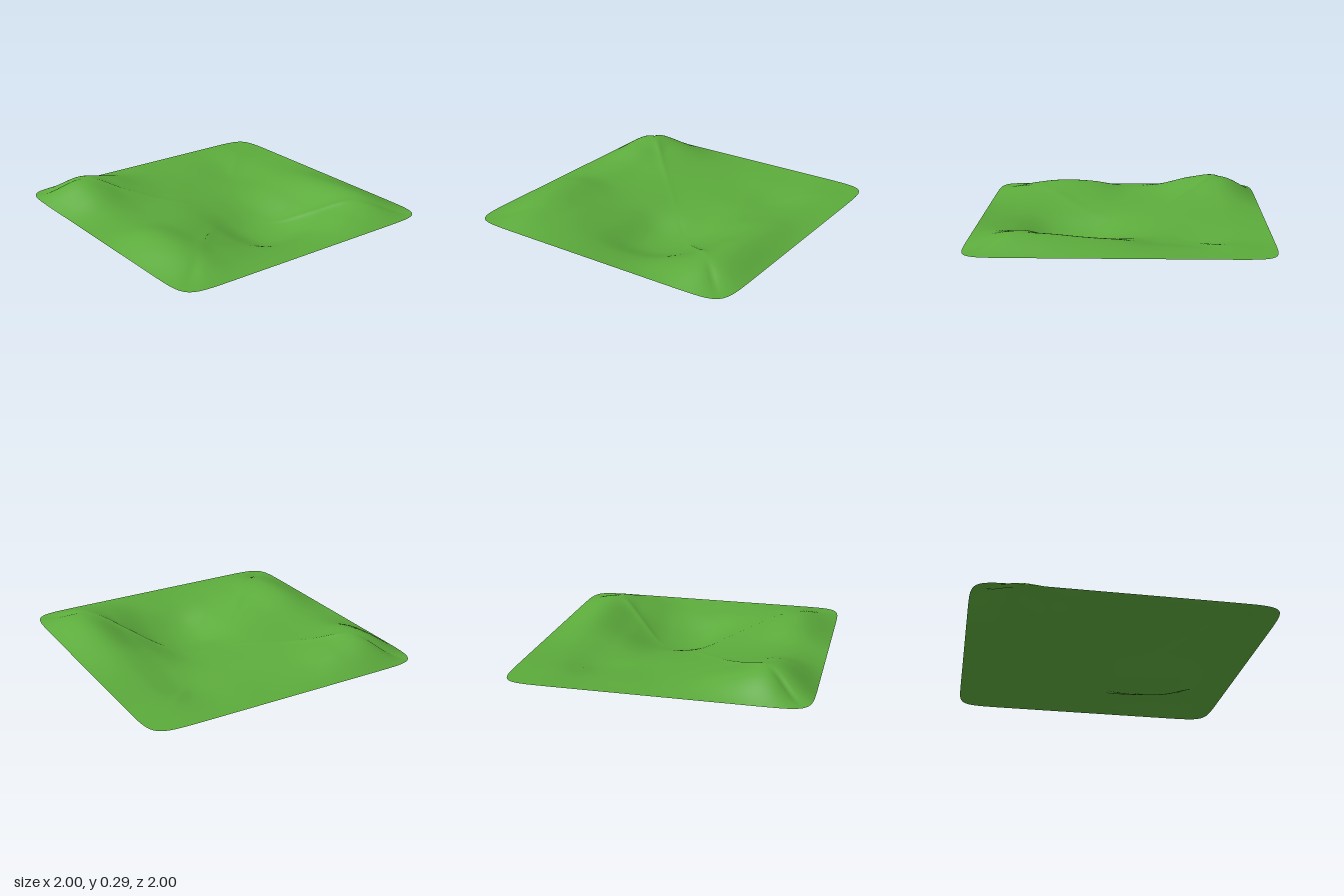
import * as THREE from 'three';

// Rise or dip (in hundredths) at quarter-step points; rows run from back to front
const RELIEF = [
  [0, -1, 0, 3.5, 6, 8, 7.5],
  [-2, -5, -4, -2, -3, -1, 3],
  [-1, -3.5, -5, -8.5, -12.5, -11, -3.5],
  [0, -1, -3, -7, -13.5, -13, -4.5],
  [3, 2, 0, -2, -4, -4.5, -2],
  [9.5, 7, 2.5, 1, 2.5, 3, 2],
  [13.3, 11.5, 5, 3, 7.5, 8.5, 5.5],
];
const RIM_HEIGHT = 0.15;
const CORNER_POWER = 15;

// Smooth curve through seven values that falls to zero at both ends
function smoothAcross(values, t) {
  const at = (i) => (i < 0 ? -values[0] : i > 8 ? -values[6] : i === 0 || i === 8 ? 0 : values[i - 1]);
  const s = (t + 1) * 4;
  const i = Math.min(7, Math.floor(s));
  const f = s - i;
  const [a, b, c, d] = [at(i - 1), at(i), at(i + 1), at(i + 2)];
  return b + 0.5 * f * (c - a + f * (2 * a - 5 * b + 4 * c - d + f * (3 * (b - c) + d - a)));
}

function reliefAt(u, v) {
  return smoothAcross(RELIEF.map((row) => smoothAcross(row, u)), v) / 100;
}

export function createModel() {
  const group = new THREE.Group();
  group.name = 'terrain';

  const geometry = new THREE.PlaneGeometry(2, 2, 80, 80).rotateX(-Math.PI / 2);
  const position = geometry.attributes.position;
  for (let i = 0; i < position.count; i++) {
    const u = THREE.MathUtils.clamp(position.getX(i), -1, 1);
    const v = THREE.MathUtils.clamp(position.getZ(i), -1, 1);
    // Pull the square's corners in to round them
    const reach = Math.max(Math.abs(u), Math.abs(v));
    const norm = (Math.abs(u) ** CORNER_POWER + Math.abs(v) ** CORNER_POWER) ** (1 / CORNER_POWER);
    const k = norm > 1e-6 ? reach / norm : 1;
    position.setXYZ(i, u * k, RIM_HEIGHT + reliefAt(u, v), v * k);
  }
  geometry.computeVertexNormals();

  // Thin grassy sheet, seen from above and below
  const ground = new THREE.Mesh(
    geometry,
    new THREE.MeshStandardMaterial({ color: 0x5cab3c, side: THREE.DoubleSide })
  );
  ground.name = 'grassSurface';
  group.add(ground);
  return group;
}
